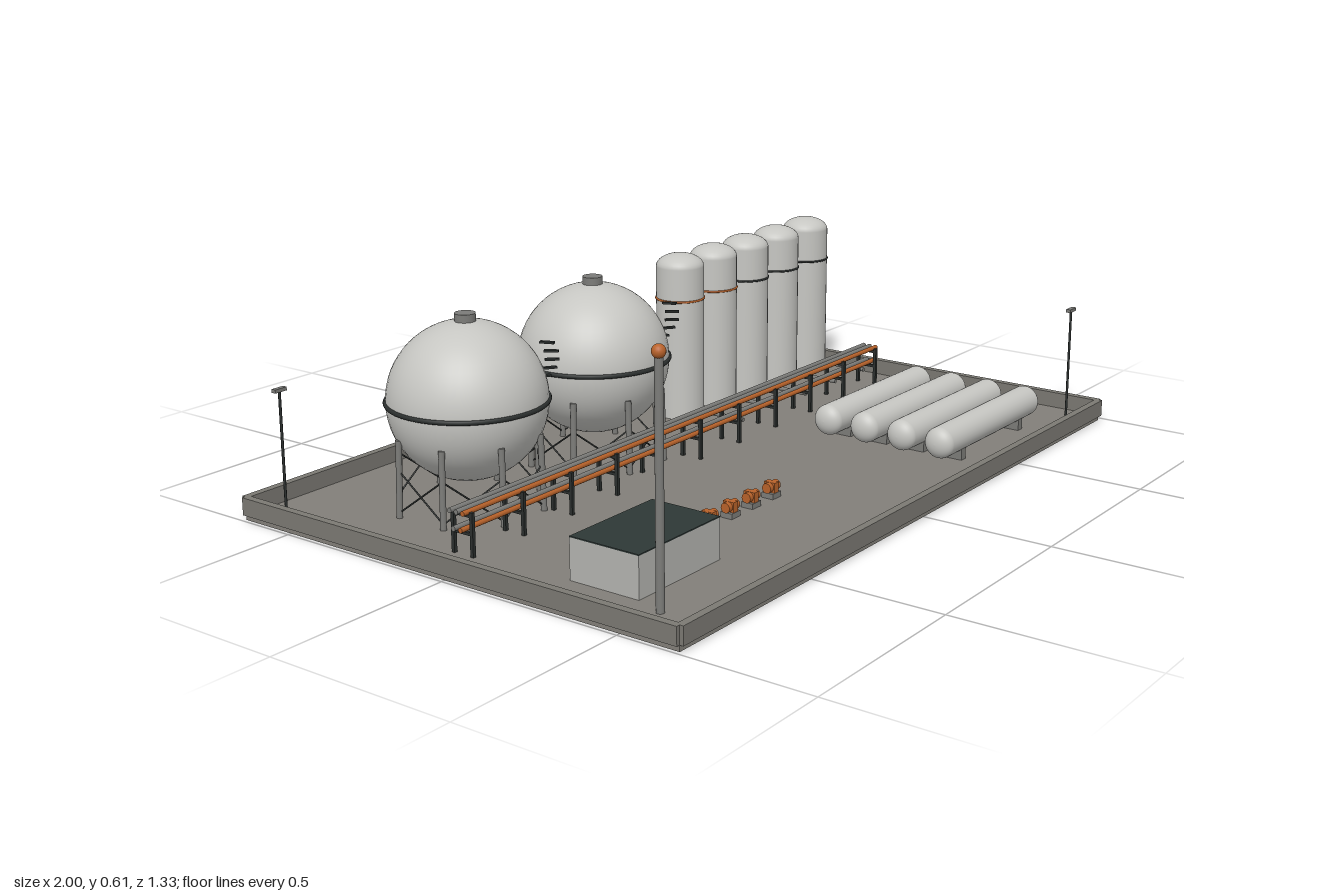
import * as THREE from 'three';

const mat = (name, color) => {
  const m = new THREE.MeshStandardMaterial({ color });
  m.name = name;
  return m;
};

export function createModel() {
  const concrete = mat('concrete', 0x827f79);
  const kerb = mat('kerbConcrete', 0x7b7973);
  const paint = mat('tankPaint', 0xc6c6c2);
  const wall = mat('buildingWall', 0xb4b4b0);
  const roofing = mat('roofing', 0x2e3836);
  const dark = mat('darkSteel', 0x2b2f2e);
  const steel = mat('greySteel', 0x7c7c79);
  const orange = mat('orangePaint', 0xb8622a);

  const root = new THREE.Group();
  root.name = 'tankFarm';
  const FLOOR = 0.017;

  const group = (name, x = 0, y = 0, z = 0, parent = root) => {
    const g = new THREE.Group();
    g.name = name;
    g.position.set(x, y, z);
    parent.add(g);
    return g;
  };
  const add = (parent, name, geo, material, x = 0, y = 0, z = 0) => {
    const m = new THREE.Mesh(geo, material);
    m.name = name;
    m.position.set(x, y, z);
    parent.add(m);
    return m;
  };
  const box = (parent, name, material, w, h, d, x, y, z) =>
    add(parent, name, new THREE.BoxGeometry(w, h, d), material, x, y, z);
  // Round bar between two points
  const rod = (parent, name, material, a, b, r, sides = 8) => {
    const dir = b.clone().sub(a);
    const m = add(parent, name, new THREE.CylinderGeometry(r, r, dir.length(), sides), material);
    m.position.copy(a).add(b).multiplyScalar(0.5);
    m.quaternion.setFromUnitVectors(new THREE.Vector3(0, 1, 0), dir.normalize());
    return m;
  };
  const v = (x, y, z) => new THREE.Vector3(x, y, z);
  const polar = (r, angle, y) => v(r * Math.cos(angle), y, r * Math.sin(angle));
  // Lathed vessel with elliptical ends
  const vessel = (r, y0, y1, dome, bottomDome) => {
    const pts = [];
    const N = 10;
    if (bottomDome) for (let i = 0; i <= N; i++) {
      const t = (i / N) * Math.PI / 2;
      pts.push(new THREE.Vector2(r * Math.sin(t), y0 + bottomDome * (1 - Math.cos(t))));
    } else pts.push(new THREE.Vector2(r, y0));
    for (let i = 0; i <= N; i++) {
      const t = (i / N) * Math.PI / 2;
      pts.push(new THREE.Vector2(r * Math.cos(t), y1 - dome * (1 - Math.sin(t))));
    }
    return new THREE.LatheGeometry(pts, 32);
  };
  const ring = (parent, name, material, r, tube, y) => {
    const m = add(parent, name, new THREE.TorusGeometry(r, tube, 8, 48), material, 0, y, 0);
    m.rotation.x = Math.PI / 2;
  };

  // Ground slab and containment kerb
  const cx = -0.005;
  box(root, 'groundSlab', concrete, 1.97, FLOOR, 1.315, cx, FLOOR / 2, 0);
  for (const s of [-1, 1]) {
    box(root, 'kerbLong', kerb, 1.97, 0.045, 0.02, cx, 0.0375, s * 0.657);
    box(root, 'kerbShort', kerb, 0.02, 0.045, 1.315, cx + s * 0.985, 0.0375, 0);
  }

  // Spherical tanks with legs, bracing and winding steps
  for (const x of [-0.618, -0.138]) {
    const g = group('sphereTank', x, 0, -0.263);
    const cy = 0.286, R = 0.198;
    add(g, 'sphereShell', new THREE.SphereGeometry(R, 48, 32), paint, 0, cy, 0);
    ring(g, 'equatorBand', dark, R, 0.006, cy);
    add(g, 'topHatch', new THREE.CylinderGeometry(0.026, 0.026, 0.04, 20), steel, 0, 0.482, 0);
    for (let i = 0; i < 8; i++) {
      const a = (i + 0.5) * Math.PI / 4, b = a + Math.PI / 4;
      rod(g, 'leg', steel, polar(0.188, a, FLOOR), polar(0.183, a, 0.212), 0.008, 12);
      rod(g, 'brace', dark, polar(0.187, a, 0.03), polar(0.185, b, 0.135), 0.0022, 6);
      rod(g, 'brace', dark, polar(0.187, b, 0.03), polar(0.185, a, 0.135), 0.0022, 6);
    }
    for (let i = 0; i < 12; i++) {
      const a = (68 - i * 11.2) * Math.PI / 180;
      const step = box(g, 'step', dark, 0.036, 0.005, 0.012, 0, 0, 0);
      step.position.copy(polar(0.206, a, 0.442 - i * 0.032));
      step.rotation.y = -a;
    }
  }

  // Row of upright tanks with outlet pipes
  for (let i = 0; i < 5; i++) {
    const g = group('uprightTank', 0.297 + i * 0.158, 0, -0.307);
    add(g, 'uprightShell', vessel(0.067, FLOOR, 0.48, 0.036, 0), paint);
    ring(g, 'tankBand', i < 2 ? orange : dark, 0.067, 0.003, 0.354);
    rod(g, 'outletPipe', steel, v(0, 0.035, 0.06), v(0, 0.035, 0.218), 0.006, 10);
  }

  // Horizontal bullet tanks on saddles
  for (let i = 0; i < 4; i++) {
    const g = group('bulletTank', 0.561, 0.077, 0.173 + i * 0.114);
    const shell = add(g, 'bulletShell', vessel(0.042, -0.264, 0.264, 0.03, 0.03), paint);
    shell.rotation.z = Math.PI / 2;
    for (const s of [-1, 1])
      box(g, 'saddle', steel, 0.022, 0.04, 0.06, s * 0.16, -0.04, 0);
  }

  // Pipe rack: portal frames and two pipe levels
  const rack = group('pipeRack', 0, 0, -0.043);
  for (let i = 0; i < 11; i++) {
    const f = group('rackFrame', -0.88 + i * 0.175, 0, 0, rack);
    for (const s of [-1, 1])
      box(f, 'rackPost', dark, 0.009, 0.108, 0.009, 0, 0.071, s * 0.029);
    for (const y of [0.072, 0.116])
      box(f, 'rackBeam', dark, 0.009, 0.007, 0.064, 0, y, 0);
  }
  const pipes = [[0.125, 0.018, orange], [0.125, -0.002, steel], [0.125, -0.022, steel],
    [0.083, 0.01, orange], [0.083, -0.012, steel]];
  for (const [y, z, m] of pipes)
    rod(rack, 'rackPipe', m, v(-0.9, y, z), v(0.89, y, z), 0.0065, 10);

  // Control building
  const hut = group('controlBuilding', -0.708, 0, 0.351);
  box(hut, 'buildingWalls', wall, 0.298, 0.102, 0.194, 0, FLOOR + 0.051, 0);
  box(hut, 'buildingRoof', roofing, 0.298, 0.003, 0.194, 0, 0.1205, 0);

  // Pumps
  for (let i = 0; i < 4; i++) {
    const p = group('pump', -0.401 + i * 0.0875, FLOOR, 0.302);
    box(p, 'pumpBase', steel, 0.036, 0.014, 0.034, 0, 0.007, 0);
    rod(p, 'pumpMotor', orange, v(-0.022, 0.027, 0), v(0.022, 0.027, 0), 0.013, 16);
    box(p, 'pumpHousing', orange, 0.018, 0.028, 0.032, 0, 0.026, 0);
  }

  // Flare stack
  const flare = group('flareStack', -0.882, 0, 0.525);
  rod(flare, 'flarePole', steel, v(0, FLOOR, 0), v(0, 0.59, 0), 0.01, 14);
  add(flare, 'flareTip', new THREE.SphereGeometry(0.016, 20, 14), orange, 0, 0.592, 0);

  // Lamp posts at three corners
  for (const [x, z] of [[-0.922, -0.59], [0.912, -0.59], [0.912, 0.59]]) {
    const l = group('lampPost', x, 0, z);
    rod(l, 'lampPole', dark, v(0, FLOOR, 0), v(0, 0.322, 0), 0.0035, 8);
    box(l, 'lampHead', steel, 0.036, 0.009, 0.013, 0, 0.325, 0);
  }

  return root;
}
